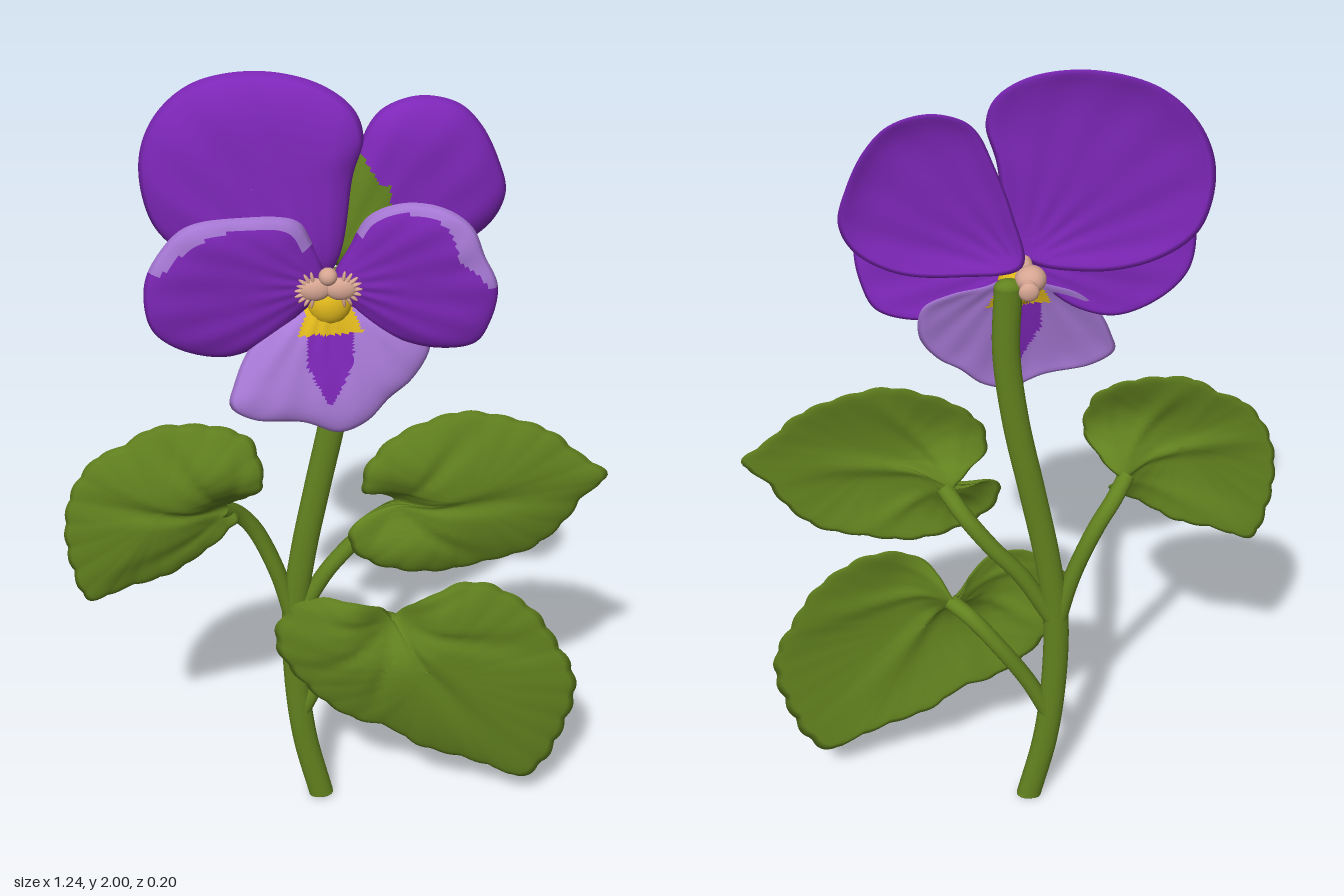
import * as THREE from 'three';

const mat = (name, color) => Object.assign(new THREE.MeshStandardMaterial({ color }), { name });

// Closed thin sheet grown from a centre to a smooth outline.
// depth(x, y, t) gives the mid surface, paint(x, y, t, angle, front) a material index; t runs 0 centre to 1 rim.
function sheet(name, mats, { outline, centre, depth, paint = () => 0, thick = 0.01, teeth = 0, n = 120, rings = 22 }) {
  const [cx, cy] = centre;
  const curve = new THREE.CatmullRomCurve3(outline.map(([x, y]) => new THREE.Vector3(x, y, 0)), true);
  const rim = curve.getSpacedPoints(n).slice(0, n);
  if (THREE.ShapeUtils.area(rim) < 0) rim.reverse();
  if (teeth) rim.forEach((p, i) => {
    const s = 0.99 + 0.025 * Math.abs(Math.sin((i / n) * Math.PI * teeth));
    p.set(cx + (p.x - cx) * s, cy + (p.y - cy) * s, 0);
  });
  const pos = [];
  for (let j = 0; j <= 2 * rings; j++) {
    const front = j <= rings;
    const t = Math.max(front ? j / rings : 2 - j / rings, 0.002);
    const half = thick * Math.sqrt(Math.max(0, 1 - t ** 4)) * (front ? 1 : -1);
    for (const p of rim) {
      const x = cx + (p.x - cx) * t, y = cy + (p.y - cy) * t;
      pos.push(x, y, depth(x, y, t) + half);
    }
  }
  const lists = mats.map(() => []);
  for (let j = 0; j < 2 * rings; j++) for (let i = 0; i < n; i++) {
    const k = (i + 1) % n;
    const a = j * n + i, b = j * n + k, c = a + n, d = b + n;
    const t = j < rings ? (j + 0.5) / rings : 2 - (j + 0.5) / rings;
    const x = (pos[3 * a] + pos[3 * d]) / 2, y = (pos[3 * a + 1] + pos[3 * d + 1]) / 2;
    const angle = THREE.MathUtils.radToDeg(Math.atan2(y - cy, x - cx));
    lists[paint(x, y, t, angle, j < rings)].push(a, c, b, b, c, d);
  }
  const g = new THREE.BufferGeometry();
  g.setAttribute('position', new THREE.Float32BufferAttribute(pos, 3));
  g.setIndex(lists.flat());
  let start = 0;
  lists.forEach((l, i) => { g.addGroup(start, l.length, i); start += l.length; });
  g.computeVertexNormals();
  const mesh = new THREE.Mesh(g, mats);
  mesh.name = name;
  return mesh;
}

function tube(name, material, pts, r) {
  const curve = new THREE.CatmullRomCurve3(pts.map(p => new THREE.Vector3(...p)));
  const mesh = new THREE.Mesh(new THREE.TubeGeometry(curve, 48, r, 14), material);
  mesh.name = name;
  return mesh;
}

function ball(name, material, p, s) {
  const mesh = new THREE.Mesh(new THREE.SphereGeometry(1, 24, 16), material);
  mesh.position.set(...p);
  mesh.scale.set(...s);
  mesh.name = name;
  return mesh;
}

export function createModel() {
  const root = new THREE.Group();
  root.name = 'flower';
  const green = mat('leaf green', 0x62821f);
  const purple = mat('deep purple', 0x7f27ba);
  const lilac = mat('lilac', 0xaa7bd9);
  const yellow = mat('throat yellow', 0xe0b81c);
  const pink = mat('dusty pink', 0xd6a592);

  // Main stem, flattened front to back, with closed ends
  const stem = new THREE.Group();
  stem.name = 'stem';
  stem.add(
    tube('stemTube', green, [[-0.03, 0.01, 0], [-0.07, 0.2, 0], [-0.09, 0.4, 0], [-0.092, 0.6, 0], [-0.07, 0.78, 0],
      [-0.035, 0.97, 0], [0.005, 1.18, 0], [0.025, 1.36, 0], [0.02, 1.52, 0]], 0.031),
    ball('stemFoot', green, [-0.03, 0.011, 0], [0.031, 0.01, 0.031]),
    ball('stemTop', green, [0.02, 1.52, 0], [0.031, 0.02, 0.031]));
  stem.scale.z = 0.7;
  stem.position.z = -0.055;
  root.add(stem);

  // Leaf stalks run beside the stem, then bend forward into the leaf notch
  root.add(
    tube('leftStalk', green, [[-0.09, 0.55, -0.055], [-0.13, 0.72, -0.055], [-0.185, 0.86, -0.05], [-0.225, 0.92, -0.03], [-0.26, 0.96, 0.01]], 0.02),
    tube('rightStalk', green, [[-0.08, 0.6, -0.055], [-0.01, 0.73, -0.055], [0.06, 0.82, -0.053], [0.12, 0.9, -0.035], [0.165, 0.955, 0.01]], 0.02),
    tube('lowerStalk', green, [[-0.08, 0.28, -0.055], [-0.025, 0.4, -0.055], [0.05, 0.52, -0.052], [0.11, 0.59, -0.03], [0.155, 0.61, 0.01]], 0.02));

  // Scalloped leaves: domed, funnelled into the stalk, with grooved veins fanning out from the notch
  const leaf = (name, centre, tip, teeth, outline) => {
    const [bx, by] = outline[0];
    const axis = Math.atan2(tip[1] - by, tip[0] - bx);
    const depth = (x, y, t) => {
      const a = Math.atan2(y - by, x - bx) - axis;
      const d = Math.hypot(x - bx, y - by);
      const vein = Math.pow(Math.abs(Math.cos(a * 4)), 8) * Math.min(1, d / 0.12) * (1 - t * t);
      const lobes = 0.025 * Math.exp(-((d - 0.13) ** 2) / 0.006) * (1 - Math.cos(a)) * 0.5;
      const funnel = 0.04 * Math.exp(-d * d / 0.005);
      return 0.037 + 0.034 * (1 - t * t) + lobes - funnel - 0.011 * vein;
    };
    root.add(sheet(name, [green], { outline, centre, depth, teeth, thick: 0.009, n: 176 }));
  };
  leaf('leftLeaf', [-0.39, 1.0], [-0.575, 0.735], 22, [[-0.24, 0.96], [-0.2, 1.0], [-0.165, 1.05], [-0.165, 1.1],
    [-0.19, 1.17], [-0.25, 1.2], [-0.33, 1.21], [-0.41, 1.2], [-0.47, 1.16], [-0.53, 1.13], [-0.58, 1.065], [-0.605, 1.0],
    [-0.615, 0.92], [-0.605, 0.82], [-0.575, 0.735], [-0.475, 0.77], [-0.385, 0.8], [-0.315, 0.85], [-0.25, 0.9], [-0.22, 0.93]]);
  leaf('rightLeaf', [0.3, 1.0], [0.62, 1.035], 24, [[0.14, 0.96], [0.11, 0.99], [0.065, 1.02], [0.07, 1.09],
    [0.13, 1.16], [0.21, 1.2], [0.285, 1.22], [0.39, 1.2], [0.485, 1.16], [0.55, 1.1], [0.62, 1.035], [0.57, 0.98],
    [0.53, 0.91], [0.46, 0.84], [0.35, 0.805], [0.25, 0.785], [0.16, 0.795], [0.065, 0.84], [0.03, 0.9], [0.05, 0.94]]);
  leaf('lowerLeaf', [0.22, 0.5], [0.47, 0.12], 28, [[0.14, 0.625], [0.1, 0.68], [0.01, 0.72], [-0.07, 0.71],
    [-0.13, 0.65], [-0.14, 0.58], [-0.105, 0.5], [-0.03, 0.4], [0.05, 0.335], [0.13, 0.305], [0.21, 0.24], [0.33, 0.19],
    [0.41, 0.15], [0.47, 0.12], [0.52, 0.16], [0.565, 0.27], [0.59, 0.39], [0.58, 0.465], [0.54, 0.545], [0.485, 0.64],
    [0.43, 0.695], [0.355, 0.74], [0.285, 0.745], [0.195, 0.695]]);

  // Petals share a soft ripple along rays from the flower centre and a rim that rolls back
  const petal = (name, mats, centre, roll, plane, outline, paint) => root.add(sheet(name, mats, {
    outline, centre, paint, thick: 0.011,
    depth: (x, y, t) => plane(x, y) - roll * t ** 5
      + 0.0025 * Math.sin(Math.atan2(y - 1.54, x + 0.015) * 22) * t * (1 - t ** 4),
  }));

  petal('upperLeftPetal', [purple], [-0.17, 1.76], 0.028, (x, y) => 0.03 + 0.19 * x - 0.03 * (y - 1.7),
    [[-0.01, 1.56], [0.04, 1.79], [0.06, 1.87], [0.04, 1.93], [-0.03, 1.98], [-0.15, 2.0], [-0.28, 1.97], [-0.36, 1.9],
      [-0.4, 1.81], [-0.4, 1.71], [-0.37, 1.63], [-0.28, 1.56], [-0.15, 1.53]]);
  petal('upperRightPetal', [purple, green], [0.18, 1.73], 0.03, x => -0.015 - 0.07 * x,
    [[-0.01, 1.56], [0.01, 1.69], [0.05, 1.81], [0.08, 1.88], [0.11, 1.91], [0.18, 1.93], [0.26, 1.91], [0.31, 1.86],
      [0.35, 1.78], [0.37, 1.7], [0.34, 1.63], [0.25, 1.57], [0.12, 1.55]],
    (x, y, t, a, front) => (front && x < 0.12 && y < 1.75 + Math.max(0, 0.1 - x) * 1.5 ? 1 : 0));

  // Side petals with a lilac band along the upper rim
  petal('leftSidePetal', [purple, lilac], [-0.21, 1.55], 0.014, (x, y) => 0.027 + 0.16 * Math.abs(x) + 0.07 * (y - 1.55),
    [[-0.02, 1.54], [-0.05, 1.65], [-0.08, 1.7], [-0.2, 1.72], [-0.31, 1.71], [-0.37, 1.65], [-0.4, 1.58], [-0.39, 1.47],
      [-0.33, 1.41], [-0.23, 1.38], [-0.14, 1.41], [-0.07, 1.47]],
    (x, y, t, a, front) => (front && a > 30 && a < 160 && t > 0.86 - 0.08 * Math.exp(-(((a - 125) / 25) ** 2)) ? 1 : 0));
  petal('rightSidePetal', [purple, lilac], [0.18, 1.56], 0.014, (x, y) => 0.028 + 0.2 * Math.abs(x) + 0.09 * (y - 1.55),
    [[0, 1.55], [0.03, 1.63], [0.07, 1.71], [0.14, 1.745], [0.22, 1.74], [0.28, 1.7], [0.31, 1.63], [0.34, 1.56],
      [0.33, 1.47], [0.3, 1.41], [0.22, 1.39], [0.13, 1.41], [0.05, 1.47]],
    (x, y, t, a, front) => (front && a > 0 && a < 140 && t > 0.89 - 0.24 * Math.exp(-(((a - 42) / 28) ** 2)) ? 1 : 0));

  // Lower lip petal: lilac with a purple wedge and a fan of yellow
  petal('lowerPetal', [lilac, purple, yellow], [-0.01, 1.36], 0.016,
    (x, y) => 0.037 - 0.09 * x + 0.18 * (1.4 - y),
    [[-0.015, 1.53], [-0.06, 1.49], [-0.14, 1.45], [-0.19, 1.39], [-0.22, 1.32], [-0.23, 1.27], [-0.18, 1.235],
      [-0.07, 1.22], [0.01, 1.19], [0.07, 1.21], [0.12, 1.26], [0.17, 1.3], [0.21, 1.37], [0.2, 1.45], [0.14, 1.48], [0.06, 1.495]],
    (x, y) => {
      const dx = Math.abs(x + 0.01);
      if (y > 1.43 && dx < 0.03 + (1.53 - y) * 0.4) return 2;
      return y > 1.27 && dx < Math.min(0.05, (y - 1.26) * 0.5) ? 1 : 0;
    });

  // Throat, bearded centre, and the calyx and spur at the back
  root.add(
    ball('throat', yellow, [-0.01, 1.49, 0.012], [0.048, 0.05, 0.036]),
    tube('spur', pink, [[-0.02, 1.53, -0.1], [-0.022, 1.535, -0.05], [-0.018, 1.545, 0.0], [-0.015, 1.55, 0.03]], 0.018),
    ball('spurTip', pink, [-0.02, 1.53, -0.095], [0.022, 0.022, 0.011]),
    ball('calyx', pink, [-0.028, 1.535, -0.05], [0.034, 0.03, 0.032]),
    ball('stigma', pink, [-0.015, 1.57, 0.042], [0.02, 0.02, 0.018]));
  for (const side of [-1, 1]) {
    const beard = new THREE.Group();
    beard.name = side < 0 ? 'leftBeard' : 'rightBeard';
    beard.add(ball('beardPad', pink, [0, 0, 0], [0.034, 0.026, 0.016]));
    for (let i = 0; i < 9; i++) {
      const a = -1.4 + i * 0.35;
      const hair = ball('beardHair', pink, [side * Math.cos(a) * 0.03, Math.sin(a) * 0.028, 0.003], [0.016, 0.004, 0.006]);
      hair.rotation.z = side * a;
      beard.add(hair);
    }
    beard.position.set(-0.015 + side * 0.028, 1.54, 0.042);
    root.add(beard);
  }
  return root;
}
